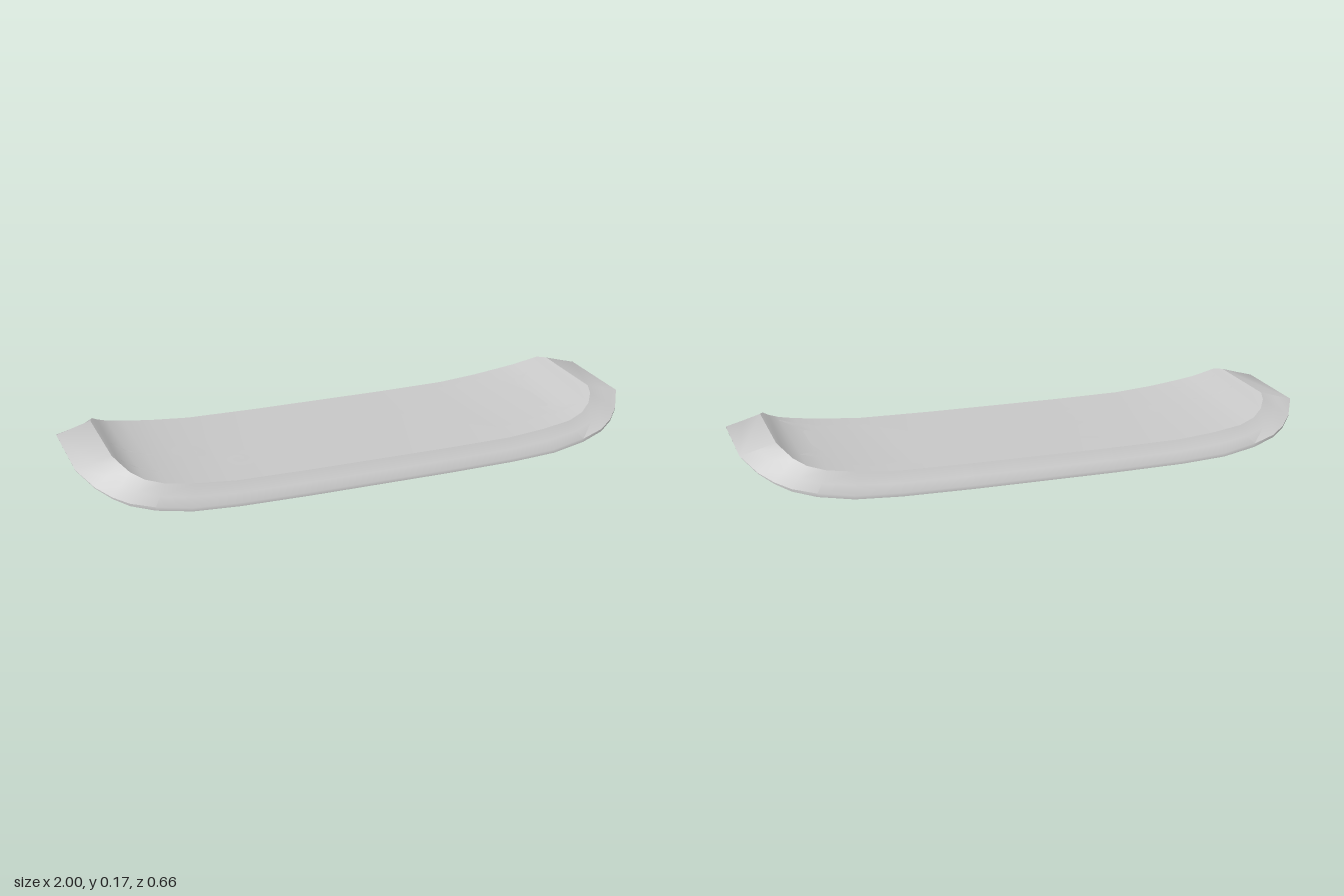
import * as THREE from 'three';
import { toCreasedNormals } from 'three/addons/utils/BufferGeometryUtils.js';

// Stations from tip to middle: bottom x, y, half width, then top x, y, half width
const HALF = [
  [1.0, 0.14, 0.16, 0.88, 0.175, 0.16],
  [0.955, 0.102, 0.235, 0.865, 0.165, 0.205],
  [0.91, 0.077, 0.28, 0.84, 0.143, 0.24],
  [0.86, 0.055, 0.307, 0.80, 0.122, 0.267],
  [0.78, 0.032, 0.322, 0.74, 0.106, 0.285],
  [0.66, 0.012, 0.33, 0.64, 0.092, 0.29],
  [0.5, 0.003, 0.33, 0.5, 0.08, 0.292],
  [0.25, 0, 0.33, 0.25, 0.077, 0.292],
];
const STATIONS = [
  ...HALF.map(([a, b, c, d, e, f]) => [-a, b, c, -d, e, f]),
  ...HALF.slice().reverse(),
];

// Height of the deck's top surface at x
function topY(x) {
  const ax = Math.min(Math.abs(x), 0.88);
  for (let i = 0; i < HALF.length - 1; i++) {
    const [, , , x1, y1] = HALF[i];
    const [, , , x0, y0] = HALF[i + 1];
    if (ax >= x0) return y0 + ((y1 - y0) * (ax - x0)) / (x1 - x0);
  }
  return 0.077;
}

function buildGeometry(pos, idx) {
  const g = new THREE.BufferGeometry();
  g.setAttribute('position', new THREE.Float32BufferAttribute(pos, 3));
  g.setIndex(idx);
  return g;
}

// Deck skin: a ring of eight points at every station, capped at both tips
function deckGeometry() {
  const pos = [], idx = [], N = 8, last = STATIONS.length - 1;
  for (const [bx, by, bw, tx, ty, tw] of STATIONS) {
    const wall = 0.012 * THREE.MathUtils.clamp((1 - Math.abs(bx)) / 0.2, 0.1, 1);
    const mx = bx + (tx - bx) * 0.5;
    const my = by + (ty - by) * 0.5;
    const mw = bw + (tw - bw) * 0.55;
    pos.push(
      bx, by, -bw, bx, by, bw, bx, by + wall, bw, mx, my, mw,
      tx, ty, tw, tx, ty, -tw, mx, my, -mw, bx, by + wall, -bw,
    );
  }
  for (let i = 0; i < last; i++) {
    for (let j = 0; j < N; j++) {
      const a = i * N + j, b = i * N + ((j + 1) % N);
      idx.push(a, b + N, b, a, a + N, b + N);
    }
  }
  for (let j = 1; j < N - 1; j++) {
    const e = last * N;
    idx.push(0, j, j + 1, e, e + j + 1, e + j);
  }
  return toCreasedNormals(buildGeometry(pos, idx), 0.7);
}

// Thin inlay draped on the deck between pairs of edge points [x0, z0, x1, z1]
function inlayGeometry(pairs) {
  const pos = [], idx = [];
  pairs.forEach(([x0, z0, x1, z1], i) => {
    pos.push(x0, topY(x0) + 0.003, z0, x1, topY(x1) + 0.003, z1);
    if (i) {
      const k = 2 * i;
      idx.push(k - 2, k - 1, k, k - 1, k + 1, k);
    }
  });
  const g = buildGeometry(pos, idx);
  g.computeVertexNormals();
  return g;
}

// Ribbon of tapering width along a smooth path of [x, z] points
function ribbon(points, w0, w1, steps = 40) {
  const curve = new THREE.CatmullRomCurve3(points.map(([x, z]) => new THREE.Vector3(x, 0, z)));
  const pairs = [];
  for (let i = 0; i <= steps; i++) {
    const t = i / steps, p = curve.getPoint(t), d = curve.getTangent(t);
    const w = (w0 + (w1 - w0) * t) / 2;
    pairs.push([p.x - d.z * w, p.z + d.x * w, p.x + d.z * w, p.z - d.x * w]);
  }
  return inlayGeometry(pairs);
}

// Points of a spiral winding inwards
function spiral(cx, cz, r, start, turns) {
  return Array.from({ length: 25 }, (_, i) => {
    const t = i / 24, a = start + turns * 2 * Math.PI * t, q = r * (1 - 0.88 * t);
    return [cx + q * Math.cos(a), cz + q * Math.sin(a)];
  });
}

export function createModel() {
  const group = new THREE.Group();
  const add = (name, geometry, open) => {
    const material = new THREE.MeshStandardMaterial({ color: 0xcccccc });
    if (open) material.side = THREE.DoubleSide;
    const mesh = new THREE.Mesh(geometry, material);
    mesh.name = name;
    group.add(mesh);
  };

  add('deck', deckGeometry());

  // Scroll inlays in the middle of the deck
  add('largeScroll', ribbon(spiral(-0.15, 0.07, 0.16, -0.6, 1.9), 0.05, 0.015, 80), true);
  add('smallScroll', ribbon(spiral(-0.44, 0.13, 0.06, -1.2, 1.3), 0.03, 0.01), true);
  add('outerScroll', ribbon(spiral(-0.6, 0.03, 0.06, 0.8, -1.3), 0.03, 0.01), true);
  add('scrollStem', ribbon([[0.3, -0.05], [0.1, -0.1], [-0.1, -0.13], [-0.3, -0.2]], 0.04, 0.01), true);

  // Jagged panel inlay near the left tip, columns of x, z from, z to
  const columns = [
    [0.34, -0.22, 0.05], [0.42, -0.25, 0.13], [0.5, -0.22, 0.2],
    [0.58, -0.25, 0.21], [0.64, -0.23, 0.2], [0.7, -0.16, 0.19], [0.74, -0.02, 0.12],
  ];
  add('panelInlay', inlayGeometry(columns.map(([x, a, b]) => [x, b, x, a])), true);
  for (const [name, x, z, s] of [['panelPointBack', 0.8, -0.16, 1], ['panelPointFront', 0.81, 0.21, -1]]) {
    add(name, inlayGeometry([[0.7, z, 0.7, z + s * 0.1], [0.74, z, 0.74, z + s * 0.06], [x, z, x, z + s * 0.004]]), true);
  }

  // Two slim stripes near the right tip
  for (const [name, z] of [['frontStripe', 0.16], ['middleStripe', 0.01]]) {
    add(name, ribbon([[-0.85, z], [-0.78, z + 0.02], [-0.71, z + 0.04]], 0.01, 0.006, 12), true);
  }
  return group;
}
